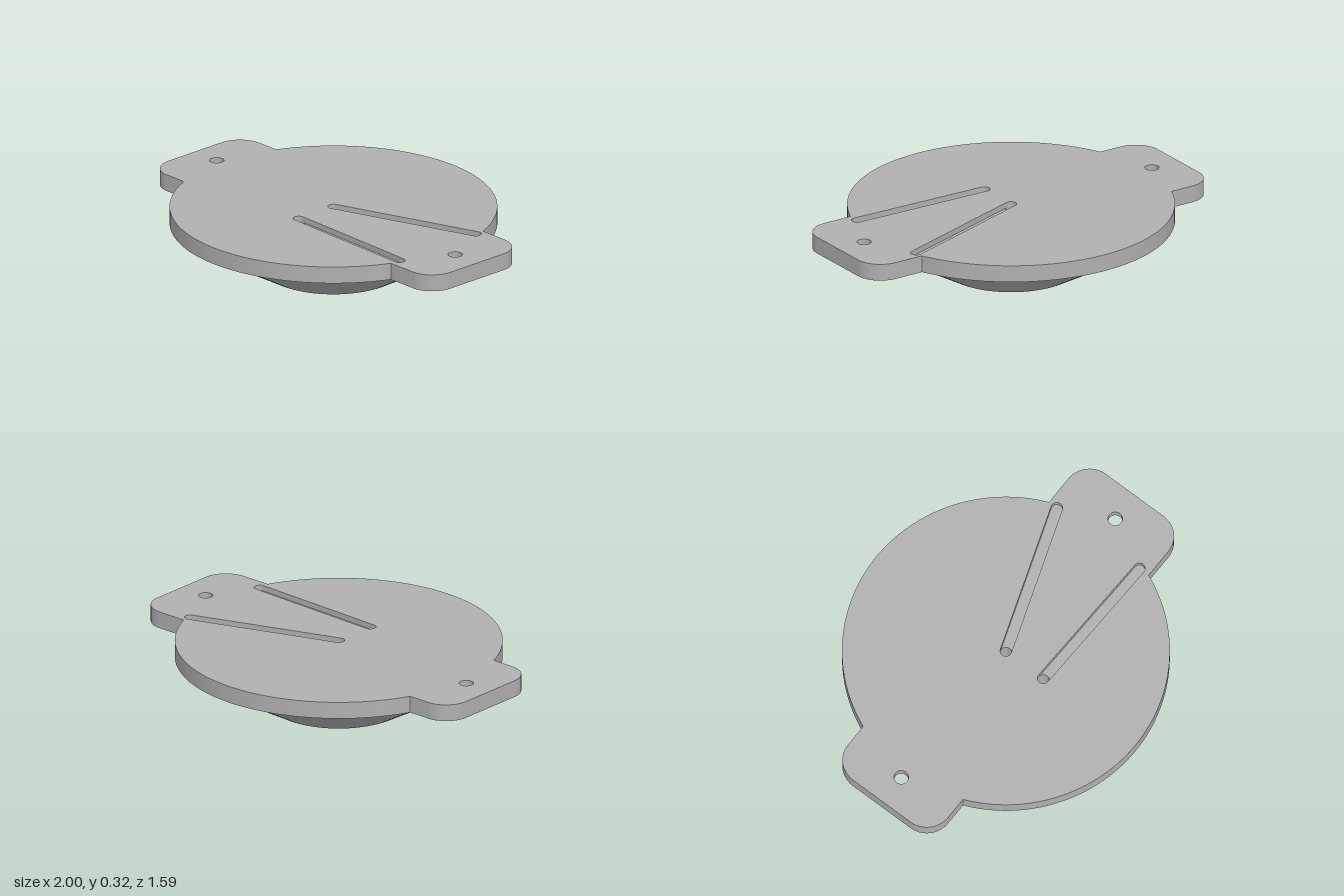
import * as THREE from 'three';
import { toCreasedNormals } from 'three/addons/utils/BufferGeometryUtils.js';

const CX = -0.018;          // axis of the disc and cone
const PIN_R = 0.028;        // small through holes
const PINS = [0, 0.23];     // z of the two through holes
const Y = { groove: 0.022, plate: 0.24, bore: 0.28, slot: 0.297, top: 0.325 };

// Shapes are drawn in (x, -z) and laid flat
function circle(x, z, r) {
  return new THREE.Path().absarc(x, -z, r, 0, Math.PI * 2, false);
}

// Round-ended slot between two points
function slot(x0, z0, x1, z1, r) {
  const a = Math.atan2(z0 - z1, x1 - x0), q = Math.PI / 2;
  const path = new THREE.Path();
  path.absarc(x1, -z1, r, a - q, a + q, false);
  path.absarc(x0, -z0, r, a + q, a + 3 * q, false);
  path.closePath();
  return path;
}

// Disc outline with a rounded ear on each side
function plateOutline() {
  const R = 0.795, h = 0.307, c = 0.13, q = Math.PI / 2;
  const a = Math.asin(h / R);
  const s = new THREE.Shape();
  s.absarc(CX, 0, R, a, Math.PI - a, false);
  s.absarc(-1 + c, h - c, c, q, 2 * q, false);
  s.absarc(-1 + c, -h + c, c, 2 * q, 3 * q, false);
  s.absarc(CX, 0, R, Math.PI + a, 2 * Math.PI - a, false);
  s.absarc(1 - c, -h + c, c, -q, 0, false);
  s.absarc(1 - c, h - c, c, 0, q, false);
  s.closePath();
  return s;
}

export function createModel() {
  const model = new THREE.Group();
  const grey = new THREE.MeshStandardMaterial({ color: 0xb0b0b0 });
  grey.name = 'plain grey';

  const add = (name, geometry, parent = model) => {
    const mesh = new THREE.Mesh(geometry, grey);
    mesh.name = name;
    parent.add(mesh);
    return mesh;
  };

  // Plate in three layers: counterbores below, holes between, slots on top
  const plate = new THREE.Group();
  plate.name = 'plate';
  model.add(plate);
  const layer = (name, y0, y1, holes) => {
    const shape = plateOutline();
    shape.holes.push(...holes);
    const g = new THREE.ExtrudeGeometry(shape, { depth: y1 - y0, bevelEnabled: false, curveSegments: 64 });
    g.rotateX(-Math.PI / 2);
    g.translate(0, y0, 0);
    add(name, toCreasedNormals(g, 0.5), plate);
  };
  const mounts = r => [-0.845, 0.845].map(x => circle(x, 0, r));
  const pinHoles = () => PINS.map(z => circle(CX, z, PIN_R));
  layer('counterboreLayer', Y.plate, Y.bore, [...mounts(0.06), ...pinHoles()]);
  layer('holeLayer', Y.bore, Y.slot, [...mounts(0.035), ...pinHoles()]);
  layer('slotLayer', Y.slot, Y.top, [
    ...mounts(0.035),
    slot(CX, PINS[0], 0.715, -0.258, PIN_R),
    slot(CX, PINS[1], 0.715, 0.25, PIN_R),
  ]);

  // Cone with a central recess, from the hole wall out to the groove
  const turned = (name, pts) => {
    const g = new THREE.LatheGeometry(pts.map(p => new THREE.Vector2(...p)), 96);
    add(name, toCreasedNormals(g, 0.5)).position.x = CX;
  };
  turned('centreBoss', [[PIN_R, Y.plate], [PIN_R, Y.groove], [0.1, Y.groove], [0.1, 0], [0.168, 0], [0.168, Y.groove]]);
  turned('cone', [[0.297, Y.groove], [0.297, 0], [0.338, 0], [0.755, Y.plate]]);

  // Groove floor, pierced by the off-centre hole
  const ring = new THREE.Shape().absarc(0, 0, 0.297, 0, Math.PI * 2, false);
  ring.holes.push(circle(0, 0, 0.168), circle(0, -PINS[1], PIN_R));
  const floor = new THREE.ShapeGeometry(ring, 48);
  floor.rotateX(Math.PI / 2);
  add('grooveFloor', floor).position.set(CX, Y.groove, 0);

  // Wall of the off-centre hole, facing inward
  const wall = new THREE.LatheGeometry(
    [new THREE.Vector2(PIN_R, Y.plate), new THREE.Vector2(PIN_R, Y.groove)], 48);
  add('pinHoleWall', wall).position.set(CX, 0, PINS[1]);

  return model;
}
